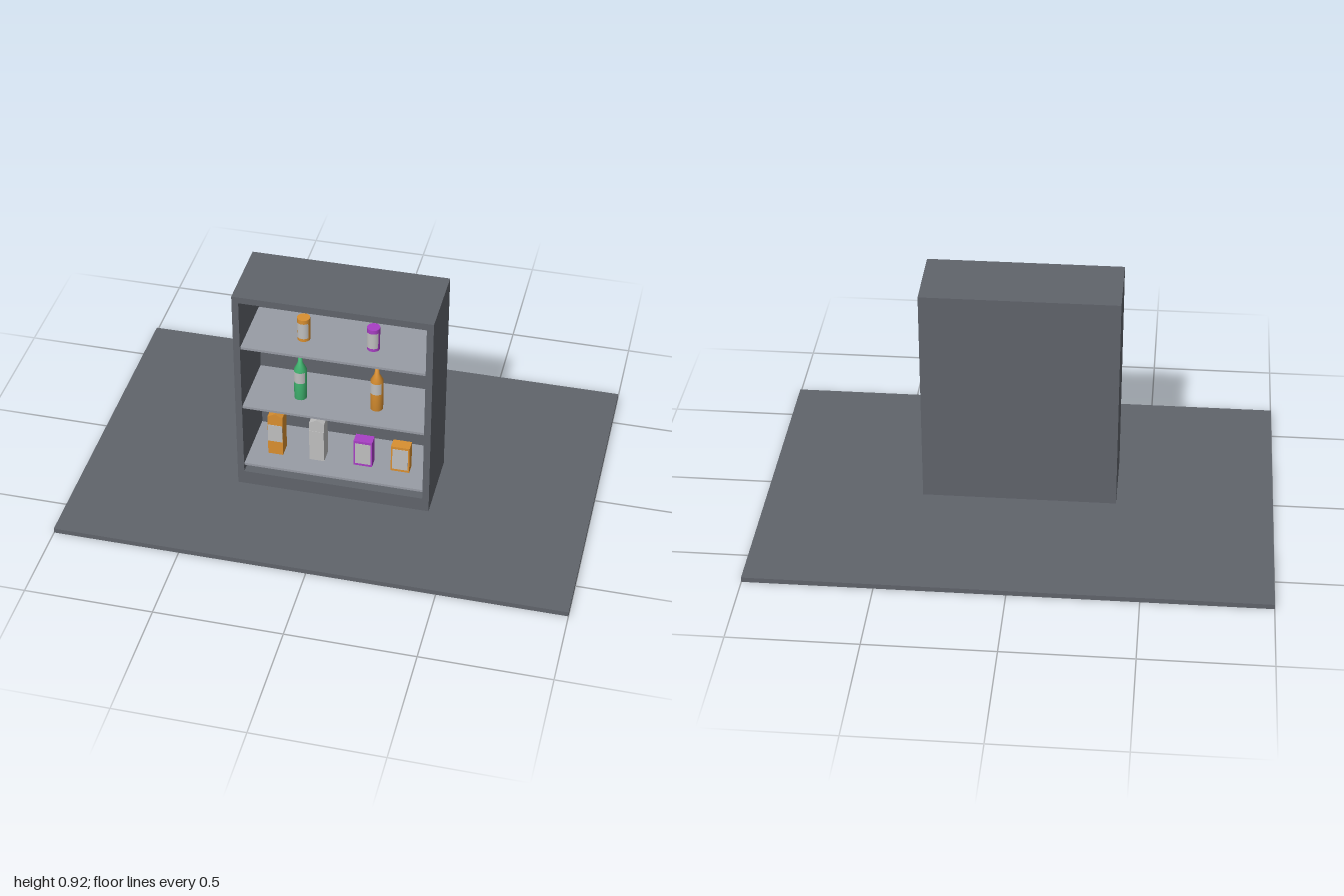
import * as THREE from 'three';

const mat = (name, color, side = THREE.FrontSide) => {
  const m = new THREE.MeshStandardMaterial({ color, side });
  m.name = name;
  return m;
};

export function createModel() {
  const grey = mat('cabinet grey', 0x60646b);
  const shelfGrey = mat('shelf grey', 0x989ca5);
  const orange = mat('orange', 0xd98f30);
  const purple = mat('purple', 0xa83fc4);
  const green = mat('green', 0x42b872);
  const pale = mat('label pale grey', 0xbfbfbf, THREE.DoubleSide);

  const root = new THREE.Group();
  root.name = 'shelfDisplay';
  const add = (parent, name, geo, material, x = 0, y = 0, z = 0) => {
    const m = new THREE.Mesh(geo, material);
    m.name = name;
    m.position.set(x, y, z);
    parent.add(m);
    return m;
  };
  const item = (name, x, y) => {
    const g = new THREE.Group();
    g.name = name;
    g.position.set(x, y, 0.117);
    root.add(g);
    return g;
  };
  const rect = (path, x, y0, y1) => {
    path.moveTo(-x, y0).lineTo(x, y0).lineTo(x, y1).lineTo(-x, y1).closePath();
    return path;
  };

  // Floor slab
  add(root, 'floor', new THREE.BoxGeometry(2, 0.02, 1.334), grey, 0, 0.01, 0);

  // Open-fronted cabinet: extruded frame plus back panel
  const frame = rect(new THREE.Shape(), 0.383, 0.02, 0.92);
  frame.holes.push(rect(new THREE.Path(), 0.357, 0.08, 0.894));
  add(root, 'cabinetFrame',
    new THREE.ExtrudeGeometry(frame, { depth: 0.275, bevelEnabled: false }), grey, 0, 0, -0.04);
  add(root, 'cabinetBack', new THREE.BoxGeometry(0.766, 0.9, 0.026), grey, 0, 0.47, -0.053);

  // Shelves
  const shelfTops = [0.117, 0.401, 0.685];
  for (const top of shelfTops)
    add(root, 'shelf', new THREE.BoxGeometry(0.714, 0.01, 0.266), shelfGrey, 0, top - 0.005, 0.095);

  // Gable-topped cartons
  const carton = (x, material) => {
    const g = item('carton', x, shelfTops[0]);
    const s = new THREE.Shape();
    s.moveTo(-0.03, 0).lineTo(0.03, 0).lineTo(0.03, 0.183).lineTo(0, 0.2).lineTo(-0.03, 0.183).closePath();
    add(g, 'cartonBody',
      new THREE.ExtrudeGeometry(s, { depth: 0.06, bevelEnabled: false }), material, 0, 0, -0.03);
    add(g, 'cartonLabel', new THREE.BoxGeometry(0.058, 0.08, 0.003), pale, 0, 0.104, 0.03);
  };
  carton(-0.252, orange);
  carton(-0.085, pale);

  // Small boxes with front labels
  const pack = (x, material) => {
    const g = item('box', x, shelfTops[0]);
    add(g, 'boxBody', new THREE.BoxGeometry(0.074, 0.12, 0.045), material, 0, 0.06, 0);
    add(g, 'boxLabel', new THREE.BoxGeometry(0.062, 0.098, 0.003), pale, 0, 0.06, 0.0225);
  };
  pack(0.098, purple);
  pack(0.247, orange);

  // Curved label wrapped round the front
  const wrapLabel = (g, r, y0, y1) => add(g, 'label',
    new THREE.CylinderGeometry(r, r, y1 - y0, 12, 1, true, -0.95, 1.9), pale, 0, (y0 + y1) / 2, 0);

  // Bottles
  const bottle = (x, material) => {
    const g = item('bottle', x, shelfTops[1]);
    const profile = [[0, 0], [0.025, 0], [0.025, 0.135], [0.01, 0.165], [0.007, 0.192], [0, 0.192]];
    const geo = new THREE.LatheGeometry(profile.map(p => new THREE.Vector2(...p)), 20);
    add(g, 'bottleBody', geo, material);
    wrapLabel(g, 0.0265, 0.08, 0.13);
  };
  bottle(-0.154, green);
  bottle(0.147, orange);

  // Cans
  const can = (x, material) => {
    const g = item('can', x, shelfTops[2]);
    add(g, 'canBody', new THREE.CylinderGeometry(0.025, 0.025, 0.098, 20), material, 0, 0.049, 0);
    wrapLabel(g, 0.0265, 0.014, 0.082);
  };
  can(-0.138, orange);
  can(0.132, purple);

  return root;
}
